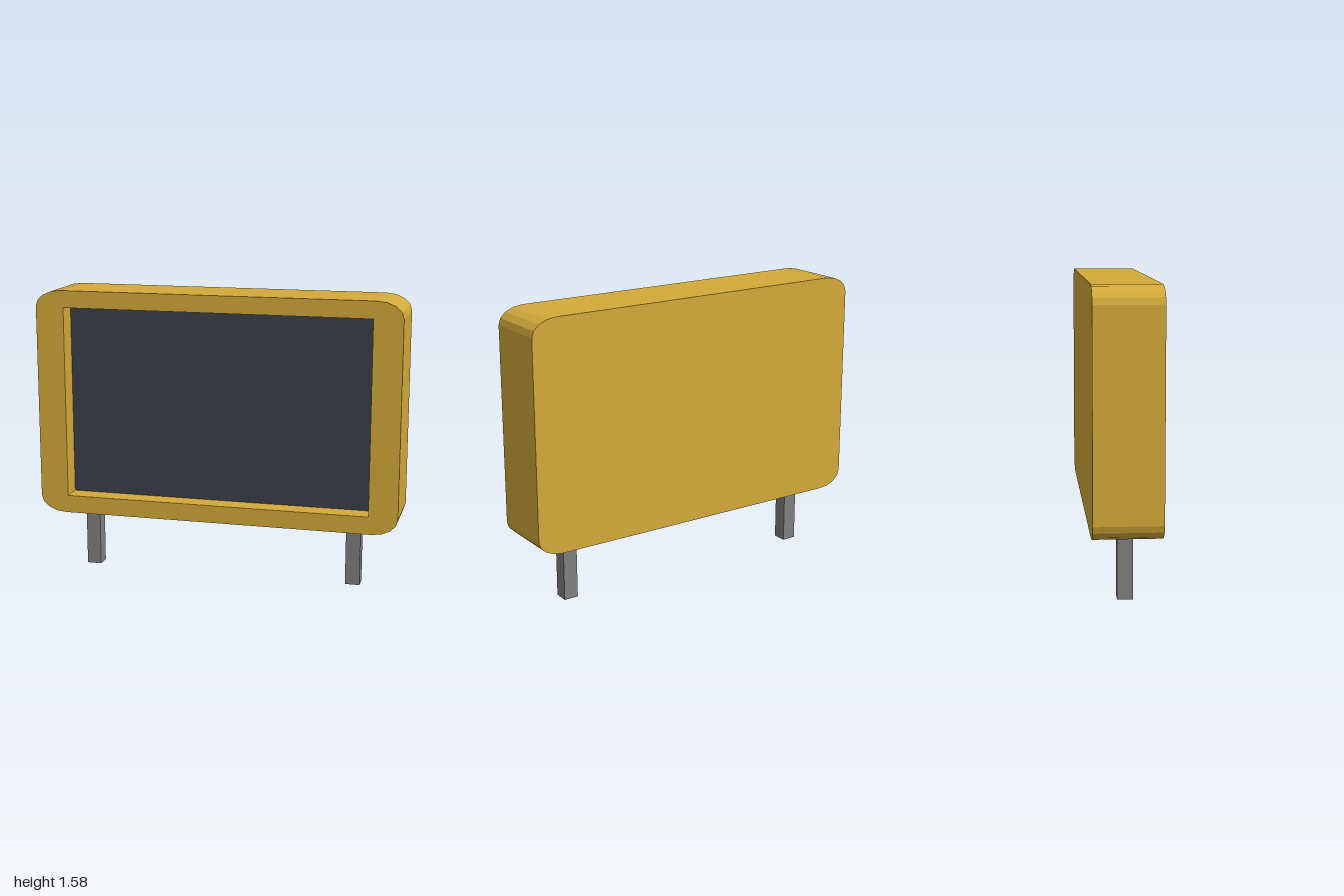
import * as THREE from 'three';

const BACK = -0.175, FRONT = 0.175, SCREEN_Z = 0.062, SEAM_Z = 0.05;
const LEFT = 1, BOTTOM = 0.335, TOP = 1.58;
const RX = 0.14, RY = 0.09;
const OPEN_X = 0.843, OPEN_BOTTOM = 0.432, OPEN_TOP = 1.487;

// Outline with elliptical corners, drawn counter-clockwise
function caseOutline() {
  const shape = new THREE.Shape();
  const x = LEFT - RX, y0 = BOTTOM + RY, y1 = TOP - RY, q = Math.PI / 2;
  [[x, y0, 3], [x, y1, 0], [-x, y1, 1], [-x, y0, 2]].forEach(([cx, cy, k]) => {
    shape.absellipse(cx, cy, RX, RY, k * q, (k + 1) * q, false, 0);
  });
  shape.closePath();
  return shape;
}

function slab(shape, z0, z1) {
  const geometry = new THREE.ExtrudeGeometry(shape, { depth: z1 - z0, bevelEnabled: false, curveSegments: 2 });
  return geometry.translate(0, 0, z0);
}

export function createModel() {
  const model = new THREE.Group();
  const yellow = new THREE.MeshStandardMaterial({ color: 0xd4aa3a, flatShading: true });
  const dark = new THREE.MeshStandardMaterial({ color: 0x3c4048 });
  const grey = new THREE.MeshStandardMaterial({ color: 0x808080 });

  const add = (name, geometry, material, x = 0, y = 0, z = 0) => {
    const mesh = new THREE.Mesh(geometry, material);
    mesh.name = name;
    mesh.position.set(x, y, z);
    model.add(mesh);
  };

  // Solid rear of the case
  add('caseBack', slab(caseOutline(), BACK, SEAM_Z), yellow);

  // Front frame around the recessed screen
  const frame = caseOutline();
  frame.holes.push(new THREE.Path([
    new THREE.Vector2(-OPEN_X, OPEN_BOTTOM),
    new THREE.Vector2(-OPEN_X, OPEN_TOP),
    new THREE.Vector2(OPEN_X, OPEN_TOP),
    new THREE.Vector2(OPEN_X, OPEN_BOTTOM),
  ]));
  add('frame', slab(frame, SEAM_Z, FRONT), yellow);

  // Screen panel
  add('screen', new THREE.BoxGeometry(OPEN_X * 2, OPEN_TOP - OPEN_BOTTOM, SCREEN_Z - SEAM_Z),
    dark, 0, (OPEN_TOP + OPEN_BOTTOM) / 2, (SCREEN_Z + SEAM_Z) / 2);

  // Two square legs
  for (const side of [1, -1]) {
    add(side > 0 ? 'leftLeg' : 'rightLeg', new THREE.BoxGeometry(0.08, BOTTOM + 0.02, 0.08),
      grey, side * 0.745, (BOTTOM + 0.02) / 2, 0);
  }
  return model;
}
